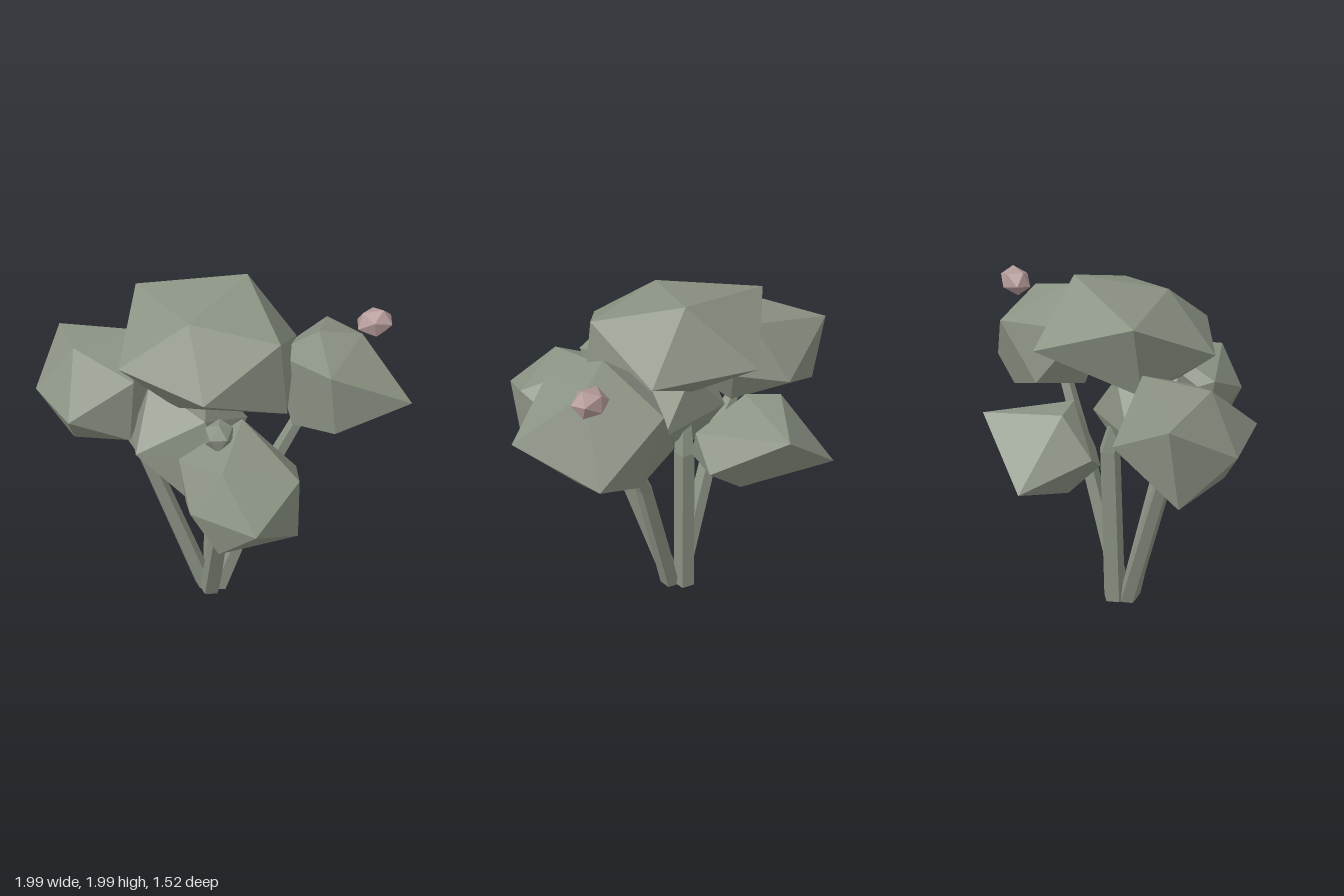
import * as THREE from 'three';
import { ConvexGeometry } from 'three/addons/geometries/ConvexGeometry.js';

// Faceted foliage clump: the convex skin around about a dozen corners
function clump(name, material, corners) {
  const points = corners.map((c) => new THREE.Vector3(...c));
  const mesh = new THREE.Mesh(new ConvexGeometry(points), material);
  mesh.name = name;
  return mesh;
}

// Five-sided stem whose rings follow three path points, from base to tip
function stem(name, material, path, radii) {
  const geometry = new THREE.CylinderGeometry(1, 1, 2, 5, 2);
  const pos = geometry.attributes.position;
  for (let i = 0; i < pos.count; i++) {
    const row = Math.round(pos.getY(i) + 1);
    const [x, y, z] = path[row];
    pos.setXYZ(i, x + pos.getX(i) * radii[row], y, z + pos.getZ(i) * radii[row]);
  }
  geometry.computeVertexNormals();
  const mesh = new THREE.Mesh(geometry, material);
  mesh.name = name;
  return mesh;
}

// Small icosahedral bud
function bud(name, material, centre, size, turn) {
  const mesh = new THREE.Mesh(new THREE.IcosahedronGeometry(1, 0), material);
  mesh.position.set(...centre);
  mesh.scale.set(...size);
  mesh.rotation.set(...turn);
  mesh.name = name;
  return mesh;
}

export function createModel() {
  const group = new THREE.Group();
  group.name = 'shrub';
  const sage = new THREE.MeshStandardMaterial({ color: 0x8a9283, flatShading: true });
  sage.name = 'sage green';
  const pink = new THREE.MeshStandardMaterial({ color: 0xb39a98, flatShading: true });
  pink.name = 'dusty pink';

  // Foliage
  group.add(
    clump('topFoliage', sage, [
      [0.03, 1.995, -0.25], [-0.03, 1.91, 0.24], [-0.53, 1.89, -0.03], [0.41, 1.84, 0.08],
      [-0.34, 1.65, 0.43], [0.22, 1.65, 0.51], [0.46, 1.45, 0.08], [0.27, 1.64, -0.37],
      [-0.26, 1.7, -0.5], [-0.44, 1.49, 0.03], [-0.03, 1.48, -0.23], [-0.09, 1.41, 0.27],
    ]),
    clump('leftFoliage', sage, [
      [-1, 1.56, 0.06], [-0.51, 1.64, 0.02], [-0.7, 1.62, 0.33], [-0.34, 1.5, 0.3],
      [-0.91, 1.35, 0.42], [-0.55, 1.35, 0.61], [-0.33, 1.18, 0.37], [-0.98, 1.13, 0.12],
      [-0.67, 1.115, 0.42], [-0.46, 1.1, 0.15], [-0.66, 1.33, -0.155], [-0.4, 1.34, 0.02],
    ]),
    clump('backFoliage', sage, [
      [-0.305, 1.4, -0.77], [-0.67, 1.1, -0.63], [0.05, 1.2, -0.59], [-0.6, 1.23, -0.25],
      [-0.47, 1.43, -0.38], [-0.17, 1.01, -0.52], [-0.5, 1, -0.36], [-0.25, 1.01, -0.16],
      [0, 1.28, -0.32], [-0.3, 1.43, -0.3], [-0.06, 1.03, -0.16],
    ]),
    clump('rightFoliage', sage, [
      [0.99, 1.48, -0.295], [0.325, 1.65, -0.63], [0.19, 1.32, -0.455], [0.67, 1.31, -0.635],
      [0.47, 1.79, -0.23], [0.64, 1.74, -0.4], [0.7, 1.36, 0], [0.66, 1.68, 0.005],
      [0.43, 1.22, -0.56], [0.69, 1.22, -0.4], [0.37, 1.22, -0.16], [0.22, 1.6, -0.2],
    ]),
    clump('frontFoliage', sage, [
      [0.41, 1.4, 0.65], [0.3, 1.47, 0.265], [0.085, 1.305, 0.535], [0.71, 1.32, 0.41],
      [0.66, 1.18, 0.755], [0.28, 1.17, 0.745], [0.1, 1.02, 0.5], [0.425, 0.95, 0.71],
      [0.72, 0.99, 0.42], [0.535, 1.16, 0.1], [0.15, 1.16, 0.11], [0.38, 0.95, 0.31],
    ]),
    clump('centreFoliage', sage, [
      [-0.17, 1.25, 0.55], [-0.27, 1.5, 0.25], [0.1, 1.4, 0.3], [-0.4, 1.15, 0.25],
      [-0.27, 0.97, 0.18], [0.06, 0.965, 0], [0.18, 1.22, 0.3], [0.1, 1.18, -0.15],
      [-0.33, 1.2, -0.02], [-0.1, 1.45, -0.05], [0.09, 0.98, 0.44], [-0.15, 1, 0],
    ]),
  );

  // Buds
  group.add(
    bud('frontBud', sage, [0.26, 1.45, 0.43], [0.08, 0.08, 0.09], [0.3, 0.2, 0.4]),
    bud('pinkBud', pink, [0.655, 1.76, -0.515], [0.105, 0.08, 0.085], [0.2, 0.5, 0.1]),
  );

  // Stems
  group.add(
    stem('leftStem', sage, [[-0.08, 0.02, 0.02], [-0.38, 0.95, 0.16], [-0.55, 1.2, 0.2]], [0.06, 0.05, 0.04]),
    stem('centreStem', sage, [[-0.07, 0.03, -0.06], [-0.055, 1, -0.08], [-0.07, 1.2, -0.04]], [0.065, 0.06, 0.04]),
    stem('frontStem', sage, [[-0.03, 0.01, 0.04], [0.19, 0.8, 0.28], [0.31, 1.02, 0.42]], [0.063, 0.052, 0.045]),
    stem('rightStem', sage, [[0, 0.02, -0.01], [0.24, 0.9, -0.19], [0.4, 1.3, -0.28]], [0.06, 0.05, 0.04]),
  );
  return group;
}
